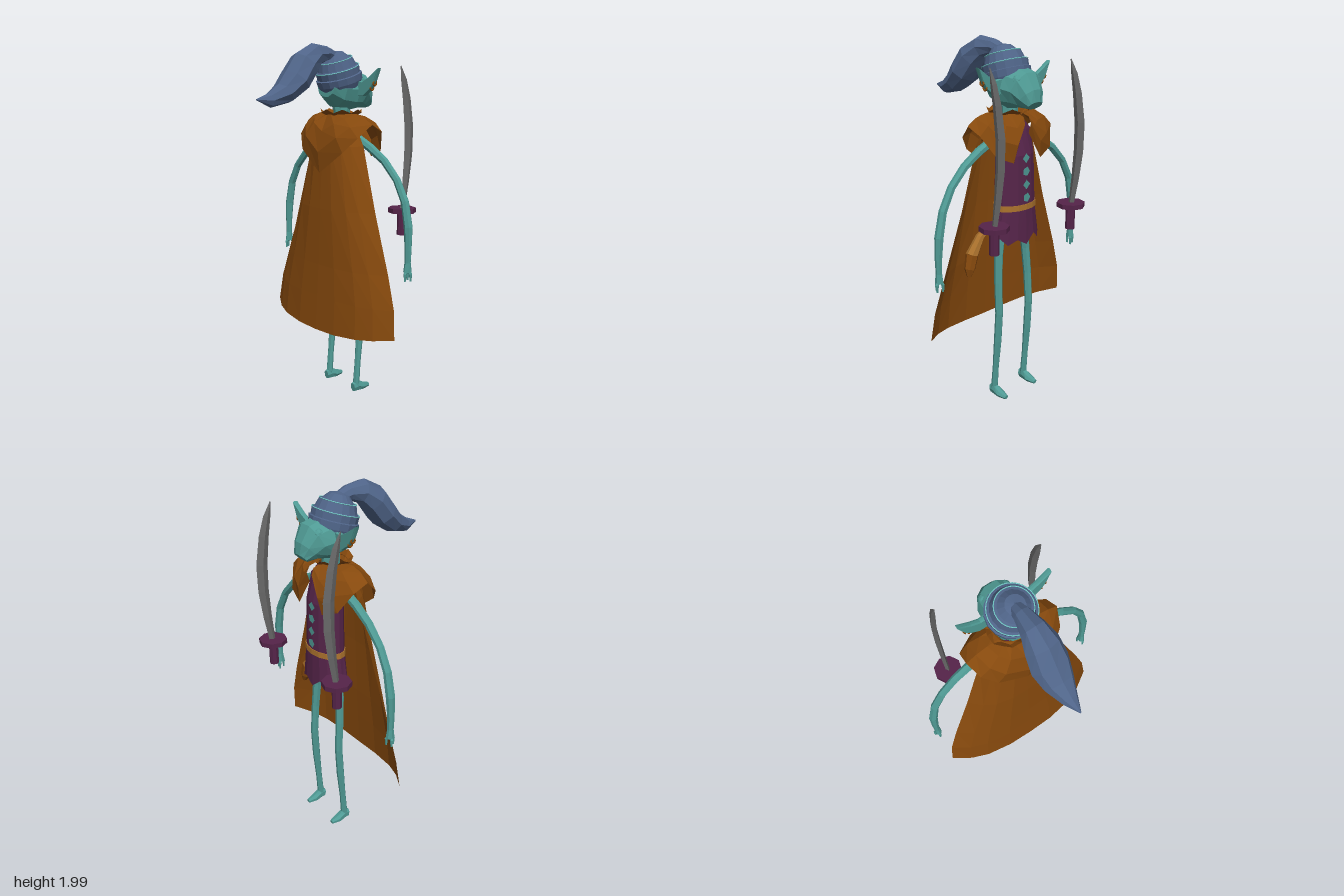
import * as THREE from 'three';

const V = (x, y, z) => new THREE.Vector3(x, y, z);
const mat = (name, color, double) => {
  const m = new THREE.MeshStandardMaterial({ color, flatShading: true });
  m.name = name;
  if (double) m.side = THREE.DoubleSide;
  return m;
};

// Skin consecutive rows of points; closed rows become tubes with optional caps
function loft(rows, closed, capped) {
  const n = rows[0].length, pos = [];
  const tri = (...p) => p.forEach(q => pos.push(q.x, q.y, q.z));
  for (let i = 0; i < rows.length - 1; i++) {
    for (let j = 0; j < (closed ? n : n - 1); j++) {
      const k = (j + 1) % n, a = rows[i][j], b = rows[i][k], c = rows[i + 1][k], d = rows[i + 1][j];
      tri(a, b, c);
      tri(a, c, d);
    }
  }
  if (capped) {
    [rows[0], rows[rows.length - 1]].forEach((row, end) => {
      const mid = V(0, 0, 0);
      row.forEach(p => mid.addScaledVector(p, 1 / n));
      row.forEach((p, j) => {
        const q = row[(j + 1) % n];
        if (end) tri(mid, p, q); else tri(mid, q, p);
      });
    });
  }
  const g = new THREE.BufferGeometry();
  g.setAttribute('position', new THREE.Float32BufferAttribute(pos, 3));
  g.computeVertexNormals();
  return g;
}

// Oval rings along a path; station = [x, y, z, radius toward ref, other radius]
function rings(stations, sides, ref = V(1, 0, 0)) {
  const pts = stations.map(s => V(s[0], s[1], s[2]));
  return stations.map((s, i) => {
    const t = pts[Math.min(i + 1, pts.length - 1)].clone().sub(pts[Math.max(i - 1, 0)]).normalize();
    const u = ref.clone().addScaledVector(t, -ref.dot(t)).normalize();
    const v = t.clone().cross(u);
    return Array.from({ length: sides }, (_, j) => {
      const a = j / sides * Math.PI * 2;
      return pts[i].clone().addScaledVector(u, Math.cos(a) * s[3]).addScaledVector(v, Math.sin(a) * (s[4] ?? s[3]));
    });
  });
}
const limb = (stations, sides, ref) => loft(rings(stations, sides, ref), true, true);

export function createModel() {
  const model = new THREE.Group();
  model.name = 'cloakedGoblin';
  const skin = mat('tealSkin', 0x4f9a94), hair = mat('blueCloth', 0x4f6488), cloak = mat('brownCloak', 0x86490d, true);
  const plum = mat('plumCloth', 0x552449, true), steel = mat('steel', 0x686868), gold = mat('goldLeather', 0xa8702c);
  const thread = mat('paleThread', 0x74cfcb);
  const add = (name, geo, material, parent = model) => {
    const m = new THREE.Mesh(geo, material);
    m.name = name;
    parent.add(m);
    return m;
  };

  // Head with a muzzle that narrows toward -z
  add('head', limb([
    [0, 1.76, -0.04, 0.07, 0.05], [0, 1.755, -0.1, 0.108, 0.1], [0, 1.75, -0.19, 0.118, 0.115],
    [0, 1.738, -0.26, 0.105, 0.105], [0, 1.7, -0.3, 0.078, 0.07], [0, 1.668, -0.335, 0.05, 0.028],
  ], 10), skin);
  add('neck', limb([[0, 1.5, -0.16, 0.05], [0, 1.68, -0.15, 0.045]], 8), skin);
  add('nose', limb([[0, 1.76, -0.28, 0.018], [0, 1.7, -0.325, 0.024], [0, 1.675, -0.33, 0.012]], 6), skin);

  // Wrapped headscarf, tilted up at the brow
  const scarf = new THREE.Group();
  scarf.name = 'headscarf';
  scarf.position.set(0, 1.775, -0.145);
  scarf.rotation.x = 0.3;
  model.add(scarf);
  const profile = [[0.112, -0.015], [0.125, 0.015], [0.129, 0.05], [0.12, 0.054], [0.122, 0.088],
    [0.109, 0.096], [0.095, 0.138], [0.08, 0.144], [0.05, 0.176], [0, 0.19]];
  add('scarfWrap', new THREE.LatheGeometry(profile.map(p => new THREE.Vector2(...p)), 16), hair, scarf);
  [[0.122, 0.091], [0.094, 0.141]].forEach(([r, y]) => {
    const ring = add('scarfThread', new THREE.TorusGeometry(r, 0.0025, 4, 32), thread, scarf);
    ring.rotation.x = Math.PI / 2;
    ring.position.y = y;
  });

  // Ponytail sweeping back and down
  add('ponytail', limb([
    [0, 1.915, -0.12, 0.03, 0.03], [0, 1.94, -0.04, 0.045, 0.04], [0, 1.935, 0.04, 0.065, 0.062],
    [0, 1.885, 0.11, 0.09, 0.078], [0, 1.8, 0.175, 0.1, 0.075], [0, 1.735, 0.25, 0.08, 0.058],
    [0, 1.7, 0.34, 0.042, 0.038], [0, 1.705, 0.42, 0.004, 0.004],
  ], 8), hair);

  // Tunic with a ragged hem
  const body = rings([
    [0, 0.94, -0.2, 0.16, 0.092], [0, 1.13, -0.2, 0.13, 0.085], [0, 1.4, -0.195, 0.122, 0.08],
    [0, 1.52, -0.175, 0.125, 0.06], [0, 1.58, -0.16, 0.08, 0.045],
  ], 16);
  body[0].forEach((p, j) => { p.y += [-0.02, 0.03, -0.01, 0.015][j % 4]; });
  add('tunic', loft(body, true, false), plum);
  add('belt', limb([[0, 1.113, -0.2, 0.138, 0.09], [0, 1.143, -0.2, 0.135, 0.089]], 16), gold);
  // Diamond gaps down the tunic front
  [1.18, 1.25, 1.32, 1.39].forEach((y, i) => {
    const gap = add('tunicGap', new THREE.CircleGeometry(0.026, i % 2 ? 4 : 5), skin);
    gap.position.set(0, y, -0.2885 + (y - 1.18) * 0.038);
    gap.rotation.y = Math.PI;
  });

  // Horn pouch hanging on the left hip
  add('hornPouch', limb([[0.13, 1.03, -0.15, 0.012], [0.2, 0.97, -0.14, 0.024], [0.26, 0.88, -0.14, 0.034]], 7), gold);
  add('hornPouchEnd', limb([[0.258, 0.885, -0.14, 0.036], [0.28, 0.81, -0.145, 0.03], [0.29, 0.77, -0.15, 0.01]], 7), cloak);

  // Back cape: [y, half width, centre z, edge z]
  const columns = [-1, -0.8, -0.6, -0.3, 0, 0.3, 0.6, 0.8, 1];
  add('cape', loft([
    [1.58, 0.13, -0.07, -0.13], [1.45, 0.2, -0.015, -0.135], [1.1, 0.315, 0.005, -0.12],
    [0.78, 0.43, 0.015, -0.11], [0.6, 0.488, 0.025, -0.1], [0.445, 0.507, 0.037, -0.087],
  ].map(([y, w, zc, ze], i) => columns.map(u =>
    V(u * w, y - (i === 5 ? 0.045 * (1 - u * u) : 0), zc + (ze - zc) * Math.abs(u) ** 3.2))), false), cloak);

  // Shoulder mantle, long at back and front and open at the chest
  const half = [[0, 1.3, 0.008], [0.17, 1.42, -0.008], [0.24, 1.5, -0.055], [0.27, 1.57, -0.13],
    [0.262, 1.53, -0.21], [0.2, 1.42, -0.265], [0.1, 1.38, -0.288], [0.025, 1.52, -0.27]];
  const hem = [...half.slice(1).reverse().map(([x, y, z]) => V(-x, y, z)), ...half.map(p => V(...p))];
  const neckRow = r => (y, zig = 0) => hem.map((_, j) => {
    const a = (j - 7) / 7 * Math.PI * 0.95;
    return V(Math.sin(a) * r, y + (j % 2) * zig, -0.15 + Math.cos(a) * r * 0.9);
  });
  const inner = neckRow(0.085)(1.62);
  const middle = t => hem.map((p, j) => inner[j].clone().lerp(p, t).add(V(0, 0.02, (p.z + 0.14) * 0.25)));
  add('mantle', loft([inner, middle(0.35), middle(0.7), hem], false), cloak);
  add('collar', loft([neckRow(0.07)(1.6), neckRow(0.122)(1.625, 0.02)], false), cloak);

  for (const s of [1, -1]) {
    const at = ([x, y, z, ...r]) => [s * x, y, z, ...r];
    const alongZ = V(0, 0, 1);

    // Eye and pointed ear with a ring
    add('eye', new THREE.IcosahedronGeometry(0.03, 1), skin).position.set(s * 0.06, 1.79, -0.268);
    const outline = [[0.07, 1.72], [0.15, 1.72], [0.2, 1.755], [0.225, 1.79], [0.256, 1.86], [0.19, 1.815], [0.14, 1.79], [0.07, 1.8]];
    const earGeo = new THREE.ExtrudeGeometry(new THREE.Shape(outline.map(p => new THREE.Vector2(...p))),
      { depth: 0.012, bevelEnabled: true, bevelThickness: 0.008, bevelSize: 0.003, bevelSegments: 1 });
    earGeo.translate(0, 0, -0.006);
    const ear = add('ear', earGeo, skin);
    ear.position.z = -0.187;
    ear.rotation.y = s > 0 ? 0 : Math.PI;
    for (const [x, y] of [[0.205, 1.76], [0.226, 1.785]]) {
      const earring = add('earring', new THREE.TorusGeometry(0.012, 0.005, 5, 10), cloak);
      earring.position.set(s * x, y, -0.187);
      earring.rotation.y = Math.PI / 2;
    }

    // Arm and fingers
    add('arm', limb([
      [0.1, 1.5, -0.165, 0.024], [0.23, 1.44, -0.165, 0.024], [0.33, 1.38, -0.168, 0.022], [0.42, 1.29, -0.17, 0.021],
      [0.48, 1.18, -0.172, 0.022], [0.508, 1.05, -0.172, 0.024], [0.513, 0.93, -0.17, 0.019], [0.512, 0.86, -0.17, 0.017],
      [0.512, 0.81, -0.17, 0.026, 0.02],
    ].map(at), 7, alongZ), skin);
    [[0.53, -0.175], [0.514, -0.15], [0.5, -0.185]].forEach(([x, z]) =>
      add('finger', limb([[0.512, 0.83, -0.17, 0.009], [x, 0.8, z, 0.009], [x, 0.762, z, 0.005]].map(at), 5, alongZ), skin));

    // Leg and foot
    add('leg', limb([
      [0.085, 1.0, -0.185, 0.026], [0.105, 0.85, -0.186, 0.025], [0.115, 0.7, -0.195, 0.023], [0.118, 0.52, -0.206, 0.022],
      [0.119, 0.35, -0.197, 0.022], [0.12, 0.18, -0.183, 0.018], [0.12, 0.03, -0.172, 0.02],
    ].map(at), 7), skin);
    add('foot', limb([
      [0.12, 0.03, -0.148, 0.018, 0.028], [0.12, 0.034, -0.18, 0.022, 0.034],
      [0.12, 0.022, -0.22, 0.027, 0.022], [0.12, 0.016, -0.268, 0.014, 0.012],
    ].map(at), 7), skin);

    // Curved sword floating upright
    const sword = new THREE.Group();
    sword.name = 'sword';
    sword.position.set(s * 0.295, 0, -0.345);
    model.add(sword);
    add('blade', limb([
      [0, 1.09, -0.002, 0.012, 0.018], [0, 1.25, -0.025, 0.014, 0.026], [0, 1.4, -0.04, 0.015, 0.032],
      [0, 1.55, -0.04, 0.014, 0.034], [0, 1.7, -0.018, 0.012, 0.03], [0, 1.8, 0.007, 0.009, 0.022],
      [0, 1.876, 0.033, 0.002, 0.003],
    ], 4), steel, sword);
    const guard = add('guard', new THREE.CylinderGeometry(0.078, 0.078, 0.026, 8), plum, sword);
    guard.position.y = 1.093;
    guard.rotation.y = 0.1;
    add('grip', new THREE.CylinderGeometry(0.026, 0.026, 0.13, 8), plum, sword).position.y = 1.017;
  }
  return model;
}
